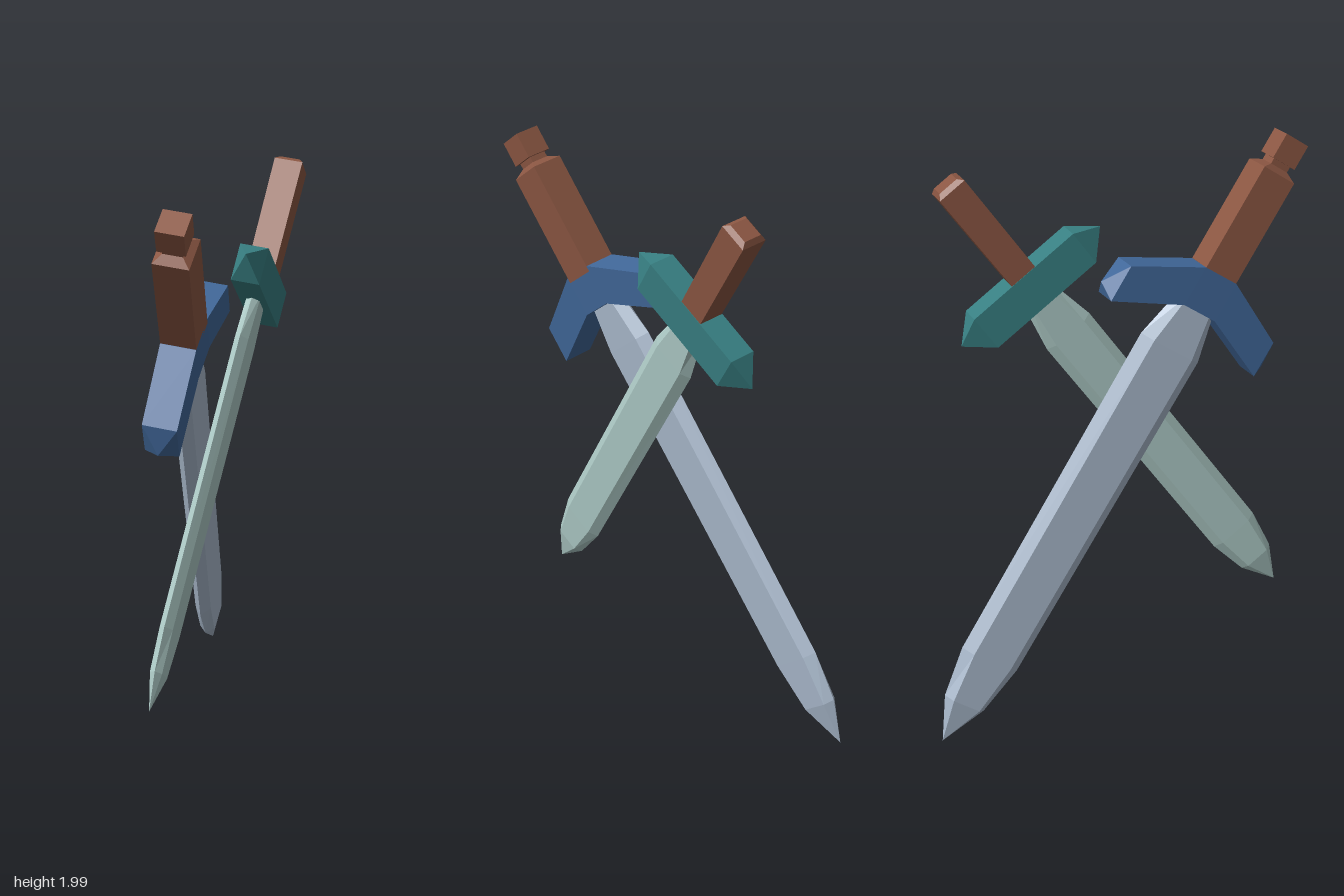
import * as THREE from 'three';

const V = (x, y, z) => new THREE.Vector3(x, y, z);

const mat = (name, color) => {
  const m = new THREE.MeshStandardMaterial({ color, flatShading: true });
  m.name = name;
  return m;
};

// Skin a list of equal-sized rings, closing both ends with fans
function loft(rings) {
  const pos = [];
  const tri = (a, b, c) => {
    const area = b.clone().sub(a).cross(c.clone().sub(a)).length();
    if (area > 1e-8) for (const p of [a, b, c]) pos.push(p.x, p.y, p.z);
  };
  const n = rings[0].length;
  for (let i = 0; i < rings.length - 1; i++) {
    const lo = rings[i], hi = rings[i + 1];
    for (let j = 0; j < n; j++) {
      const k = (j + 1) % n;
      tri(lo[j], hi[j], lo[k]);
      tri(lo[k], hi[j], hi[k]);
    }
  }
  const first = rings[0], last = rings[rings.length - 1];
  for (let j = 1; j < n - 1; j++) {
    tri(first[0], first[j], first[j + 1]);
    tri(last[0], last[j + 1], last[j]);
  }
  const g = new THREE.BufferGeometry();
  g.setAttribute('position', new THREE.Float32BufferAttribute(pos, 3));
  g.computeVertexNormals();
  return g;
}

// Six-sided blade section: two sharp edges and two flats
function bladeRing([y, w, h]) {
  const f = w * 0.66;
  return [V(w, y, 0), V(f, y, h), V(-f, y, h), V(-w, y, 0), V(-f, y, -h), V(f, y, -h)];
}

// Rectangular section across the grip
const gripRing = ([y, a, b]) => [V(a, y, b), V(-a, y, b), V(-a, y, -b), V(a, y, -b)];

// Rectangular section across the guard; depth 0 with top = bottom makes a point
const guardRing = ([x, top, bottom, d]) =>
  [V(x, top, d), V(x, top, -d), V(x, bottom, -d), V(x, bottom, d)];

// Mirror the right half of a guard to the left
function guardGeometry(half) {
  const left = half.map(([x, ...r]) => [-x, ...r]).reverse();
  return loft([...left, ...half].map(guardRing));
}

// Sword with its tip at the origin, pointing down, then placed by tip, axis and width direction
function sword(name, o) {
  const g = new THREE.Group();
  g.name = name;
  const add = (part, geo, m) => {
    const mesh = new THREE.Mesh(geo, m);
    mesh.name = part;
    g.add(mesh);
  };
  add('blade', loft(o.blade.map(bladeRing)), o.bladeMat);
  add('guard', guardGeometry(o.guard), o.guardMat);
  add('grip', loft(o.grip.map(gripRing)), o.gripMat);
  if (o.pommel) add('pommel', loft(o.pommel.map(gripRing)), o.gripMat);

  const d = o.axis.clone().normalize();
  const w = o.width.clone().addScaledVector(d, -o.width.dot(d)).normalize();
  const n = w.clone().cross(d);
  g.quaternion.setFromRotationMatrix(new THREE.Matrix4().makeBasis(w, d, n));
  g.position.copy(o.tip);
  return g;
}

export function createModel() {
  const model = new THREE.Group();
  model.name = 'crossedSwords';
  const gripMat = mat('brown grip', 0x8c5743);

  // Long sword with swept guard and pommel
  model.add(sword('longSword', {
    tip: V(0.015, 0.005, -0.7),
    axis: V(-0.108, 0.817, 0.565),
    width: V(0.35, 0.532, -0.77),
    blade: [[0, 0, 0], [0.155, 0.082, 0.028], [0.335, 0.116, 0.03],
      [1.58, 0.124, 0.032], [1.78, 0.075, 0.03]],
    guard: [[0.066, 1.88, 1.735, 0.06], [0.31, 1.765, 1.632, 0.058], [0.35, 1.67, 1.67, 0]],
    grip: [[1.86, 0.065, 0.06], [2.265, 0.065, 0.06], [2.285, 0.035, 0.033], [2.32, 0.035, 0.033]],
    pommel: [[2.305, 0.047, 0.047], [2.395, 0.047, 0.047]],
    bladeMat: mat('blue grey steel', 0xacbccf),
    guardMat: mat('blue guard', 0x41689a),
    gripMat,
  }));

  // Short sword with straight guard
  model.add(sword('shortSword', {
    tip: V(-0.33, 0.307, 0.571),
    axis: V(0.3, 0.815, -0.496),
    width: V(-0.258, 0.552, 0.792),
    blade: [[0, 0, 0], [0.125, 0.066, 0.021], [0.272, 0.092, 0.023],
      [1.3, 0.094, 0.024], [1.48, 0.06, 0.024]],
    guard: [[0.215, 1.58, 1.447, 0.05], [0.305, 1.515, 1.515, 0]],
    grip: [[1.56, 0.05, 0.048], [1.97, 0.052, 0.05], [1.985, 0.036, 0.035]],
    bladeMat: mat('green grey steel', 0xaecbc7),
    guardMat: mat('teal guard', 0x388083),
    gripMat,
  }));
  return model;
}
